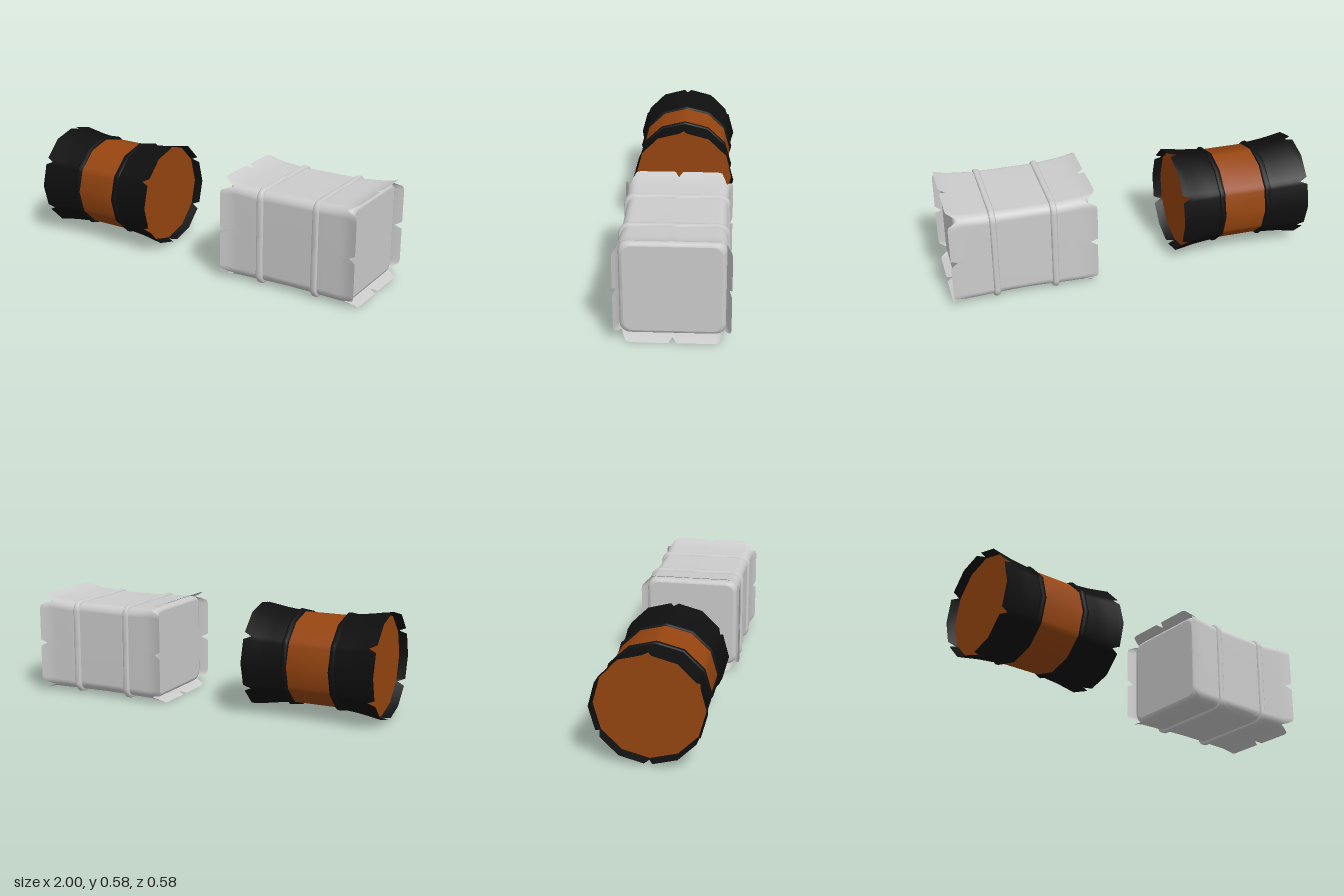
import * as THREE from 'three';

const material = (color) => new THREE.MeshStandardMaterial({ color, side: THREE.DoubleSide });

// Piecewise-linear lookup in a list of [distance, value] pairs
function lookup(table, d) {
  for (let i = 1; i < table.length; i++) {
    const [d0, v0] = table[i - 1], [d1, v1] = table[i];
    if (d <= d1) return v0 + (v1 - v0) * Math.max(0, (d - d0) / (d1 - d0));
  }
  return table[table.length - 1][1];
}

// Closed tube through rings of [x, y, z] points
function skin(rings) {
  const n = rings[0].length, index = [];
  for (let i = 0; i < rings.length - 1; i++) {
    for (let j = 0; j < n; j++) {
      const a = i * n + j, c = i * n + (j + 1) % n;
      index.push(a, a + n, c, c, a + n, c + n);
    }
  }
  const g = new THREE.BufferGeometry();
  g.setAttribute('position', new THREE.Float32BufferAttribute(rings.flat(2), 3));
  g.setIndex(index);
  g.computeVertexNormals();
  return g;
}

// Flat end face filling one ring
function endCap(ring) {
  const g = new THREE.ShapeGeometry(new THREE.Shape(ring.map(([, y, z]) => new THREE.Vector2(z, y))));
  return g.rotateY(-Math.PI / 2).translate(ring[0][0], 0, 0);
}

function add(group, name, geometry, mat) {
  const mesh = new THREE.Mesh(geometry, mat);
  mesh.name = name;
  group.add(mesh);
}

// Raised band: ring rows swelling outward around position x
const bandRows = (x, width, height, ringAt) =>
  [[-1, -0.004], [-0.9, 0.6 * height], [-0.5, height], [0.5, height], [0.9, 0.6 * height], [1, -0.004]]
    .map(([s, grow]) => ringAt(x + s * width / 2, grow));

function squareBale() {
  const group = new THREE.Group();
  group.name = 'squareBale';
  const grey = material(0xcccccc);
  const END = 0.392;
  const top = [[0, 0.51], [0.08, 0.513], [0.17, 0.522], [0.3, 0.533], [0.34, 0.54], [0.37, 0.55], [END, 0.56]];
  const bottom = [[0, 0.02], [0.32, 0.02], [0.36, 0.012], [END, 0.001]];
  const half = [[0, 0.252], [0.1, 0.255], [0.2, 0.262], [0.32, 0.267], [0.36, 0.275], [END, 0.286]];
  const radius = [[0, 0.05], [0.32, 0.05], [END, 0.08]];

  // Outline points: a notched middle on each side, then a rounded, notched corner
  const outline = [];
  for (let k = 0; k < 4; k++) {
    const c = Math.round(Math.cos(k * Math.PI / 2)), s = Math.round(Math.sin(k * Math.PI / 2));
    for (const o of [-0.02, 0, 0.02])
      outline.push({ ez: c, ey: s, nz: c, ny: s, oz: -s * o, oy: c * o, notch: o ? 0 : 0.036 });
    for (let i = 0; i <= 6; i++) {
      const a = (k + i / 6) * Math.PI / 2;
      outline.push({ ez: c - s, ey: s + c, nz: Math.cos(a), ny: Math.sin(a), oz: 0, oy: 0,
        notch: [0, 0.004, 0.035, 0.07, 0.035, 0.004, 0][i] });
    }
  }
  const pointAt = (p, x, grow = 0) => {
    const d = Math.abs(x), t = lookup(top, d), b = lookup(bottom, d), r = lookup(radius, d) + grow * 0.5;
    const hy = (t - b) / 2 + grow, hz = lookup(half, d) + grow;
    const y = (t + b) / 2 + p.ey * (hy - r) + p.ny * r + p.oy;
    const z = p.ez * (hz - r) + p.nz * r + p.oz;
    return [x, y, z];
  };
  const ringAt = (x, grow) => outline.map((p) => pointAt(p, x, grow));

  // Thin wrapping with flared, notched ends
  const rows = [];
  for (let i = 0; i <= 36; i++) {
    const s = i / 18 - 1;
    rows.push(outline.map((p) => pointAt(p, s * (END - p.notch))));
  }
  add(group, 'wrapping', skin(rows), grey);

  // Inner block with softened ends
  const ends = [[0.25, -0.006], [0.32, -0.008], [0.342, -0.013], [0.352, -0.022], [0.356, -0.035]];
  const inner = [...ends.map(([d, g]) => ringAt(-d, g)).reverse(), ...ends.map(([d, g]) => ringAt(d, g))];
  add(group, 'innerBlock', skin(inner), grey);
  add(group, 'rightEnd', endCap(inner[0]), grey);
  add(group, 'leftEnd', endCap(inner[inner.length - 1]), grey);

  for (const x of [-0.163, 0.157]) add(group, 'strap', skin(bandRows(x, 0.036, 0.014, ringAt)), grey);
  group.position.x = 0.607;
  return group;
}

function roundBale() {
  const group = new THREE.Group();
  group.name = 'roundBale';
  const black = material(0x0f0f0f), orange = material(0x964510);
  const END = 0.363, SIDES = 12;
  const halfY = [[0, 0.25], [0.12, 0.25], [0.16, 0.256], [0.25, 0.266], [END, 0.286]];
  const halfZ = [[0, 0.264], [0.12, 0.264], [0.16, 0.267], [0.25, 0.272], [END, 0.288]];

  // Twelve-sided outline, every second corner notched
  const corner = (k) => [Math.cos(k * Math.PI * 2 / SIDES), Math.sin(k * Math.PI * 2 / SIDES)];
  const toward = (k, m, f) => corner(k).map((v, i) => v + (corner(m)[i] - v) * f);
  const outline = [];
  for (let k = 0; k < SIDES; k++) {
    if (k % 2) {
      outline.push({ dir: toward(k, k - 1, 0.14), notch: 0 }, { dir: corner(k), notch: 0.04 },
        { dir: toward(k, k + 1, 0.14), notch: 0 });
    } else outline.push({ dir: corner(k), notch: 0 });
  }
  const pointAt = ({ dir }, x, grow = 0) => {
    const d = Math.abs(x);
    return [x, dir[1] * (lookup(halfY, d) + grow), dir[0] * (lookup(halfZ, d) + grow)];
  };
  const ringAt = (x, grow) => outline.map((p) => pointAt(p, x, grow));

  // Core
  const core = [-0.318, -0.25, -0.16, -0.12, 0, 0.12, 0.16, 0.25, 0.318]
    .map((x) => ringAt(x, Math.abs(x) > 0.13 ? -0.004 : 0));
  add(group, 'core', skin(core), orange);
  add(group, 'rightEnd', endCap(core[0]), orange);
  add(group, 'leftEnd', endCap(core[core.length - 1]), orange);

  // Flared cuffs and straps on both sides
  for (const side of [-1, 1]) {
    const rows = [];
    for (let i = 0; i <= 6; i++)
      rows.push(outline.map((p) => pointAt(p, side * (0.125 + (END - p.notch - 0.125) * i / 6), 0.002)));
    if (side < 0) rows.reverse();
    add(group, 'cuff', skin(rows), black);
    add(group, 'strap', skin(bandRows(side * 0.132, 0.034, 0.012, ringAt)), black);
  }
  group.position.set(-0.637, 0.295, 0);
  return group;
}

export function createModel() {
  const model = new THREE.Group();
  model.name = 'bales';
  model.add(squareBale(), roundBale());
  return model;
}
